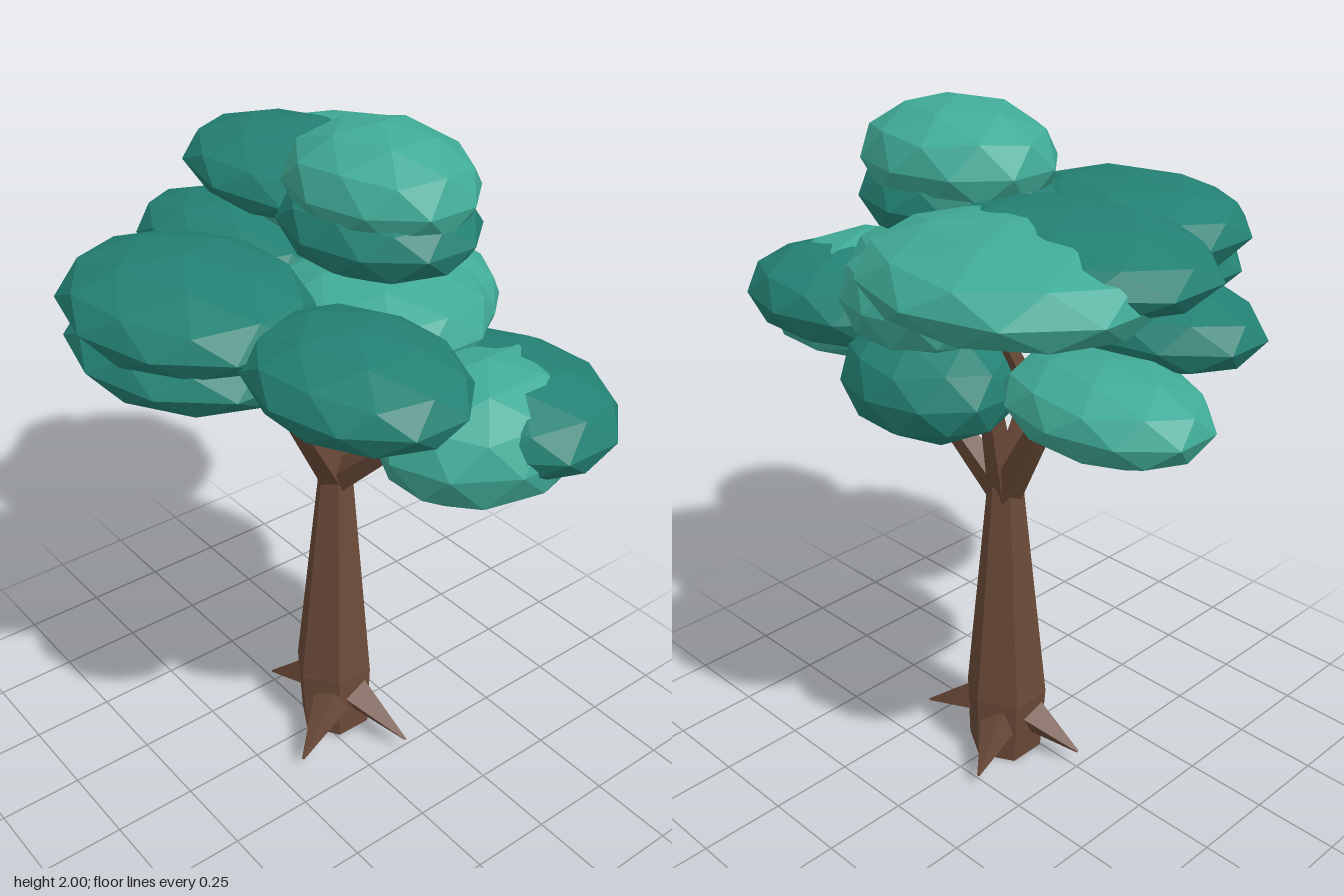
import * as THREE from 'three';

const paint = (name, color) => {
  const m = new THREE.MeshStandardMaterial({ color, flatShading: true });
  m.name = name;
  return m;
};

export function createModel() {
  const tree = new THREE.Group();
  tree.name = 'tree';
  const bark = paint('bark brown', 0x6b4a38);
  const dark = paint('dark leaf green', 0x238173);
  const light = paint('light leaf green', 0x40ab97);

  const add = (name, geometry, material) => {
    const mesh = new THREE.Mesh(geometry, material);
    mesh.name = name;
    tree.add(mesh);
    return mesh;
  };

  // Tapered faceted limb between two points
  const up = new THREE.Vector3(0, 1, 0);
  const limb = (name, from, to, r0, r1, sides = 5) => {
    const a = new THREE.Vector3(...from), b = new THREE.Vector3(...to);
    const dir = b.clone().sub(a);
    const mesh = add(name, new THREE.CylinderGeometry(r1, r0, dir.length(), sides), bark);
    mesh.position.copy(a).add(b).multiplyScalar(0.5);
    mesh.quaternion.setFromUnitVectors(up, dir.normalize());
  };

  // Trunk: a flared foot, then a long taper
  const foot = [0, 0.008, -0.06], knee = [-0.01, 0.22, -0.062], fork = [-0.028, 0.93, -0.08];
  limb('trunkFoot', foot, knee, 0.113, 0.123, 6);
  limb('trunk', knee, fork, 0.123, 0.052, 6);

  // Roots: thin spikes, base then tip
  const roots = [
    [[0.08, 0.14, -0.08], [0.27, 0.05, -0.13]],
    [[0.06, 0.14, 0.0], [0.14, 0.05, 0.175]],
    [[-0.08, 0.14, -0.04], [-0.245, 0.05, 0.01]],
    [[-0.05, 0.14, -0.13], [-0.11, 0.05, -0.28]],
  ];
  for (const [base, tip] of roots) limb('root', base, tip, 0.06, 0.004, 4);

  // Branches: each rises to a node and splits into twigs
  const branches = [
    { node: [-0.23, 1.22, -0.13], twigs: [[-0.38, 1.46, -0.02], [-0.47, 1.34, -0.24], [-0.17, 1.5, -0.25]] },
    { node: [0.02, 1.25, 0.13], twigs: [[0.02, 1.46, 0.31], [0.28, 1.49, 0.23]] },
    { node: [-0.045, 1.2, -0.15], twigs: [[0.08, 1.68, -0.12], [-0.15, 1.62, -0.25]] },
    { node: [0.21, 1.13, -0.12], twigs: [[0.4, 1.27, -0.12], [0.25, 1.32, -0.2]] },
  ];
  for (const { node, twigs } of branches) {
    limb('branch', [fork[0], 0.9, fork[2]], node, 0.05, 0.034);
    for (const end of twigs) limb('twig', node, end, 0.029, 0.02);
  }

  // Foliage: flattened icospheres with a vertex at the pole
  const puff = new THREE.IcosahedronGeometry(1, 1);
  puff.rotateZ(Math.atan2(1, (1 + Math.sqrt(5)) / 2));
  const foliage = (name, material, centre, half) => {
    const mesh = add(name, puff, material);
    mesh.position.set(...centre);
    mesh.scale.set(half[0] / 0.951, half[1], half[2]);
  };
  foliage('crownTop', light, [0.1, 1.845, -0.115], [0.272, 0.155, 0.235]);
  foliage('crownUnder', dark, [0.105, 1.745, -0.108], [0.278, 0.13, 0.25]);
  foliage('backUpperLeaves', light, [-0.325, 1.685, -0.345], [0.385, 0.135, 0.35]);
  foliage('backLeaves', dark, [-0.385, 1.72, -0.215], [0.385, 0.11, 0.285]);
  foliage('rightSideLeaves', dark, [-0.435, 1.53, -0.01], [0.335, 0.115, 0.225]);
  foliage('rightLowLeaves', light, [-0.565, 1.405, -0.28], [0.275, 0.118, 0.205]);
  foliage('frontUpperLeaves', dark, [-0.05, 1.605, 0.385], [0.36, 0.125, 0.305]);
  foliage('frontLowerLeaves', dark, [-0.04, 1.505, 0.385], [0.345, 0.115, 0.3]);
  foliage('leftFrontLeaves', dark, [0.475, 1.58, 0.265], [0.3, 0.122, 0.247]);
  foliage('leftSideLeaves', dark, [0.525, 1.385, -0.165], [0.315, 0.14, 0.268]);
  foliage('leftLowLeaves', light, [0.545, 1.355, -0.085], [0.24, 0.187, 0.3]);
  foliage('backLowLeaves', dark, [0.055, 1.29, -0.275], [0.25, 0.165, 0.225]);
  foliage('innerLeaves', light, [0.16, 1.53, -0.07], [0.29, 0.14, 0.3]);
  foliage('innerBackLeaves', light, [0.1, 1.5, -0.26], [0.23, 0.16, 0.2]);
  return tree;
}
